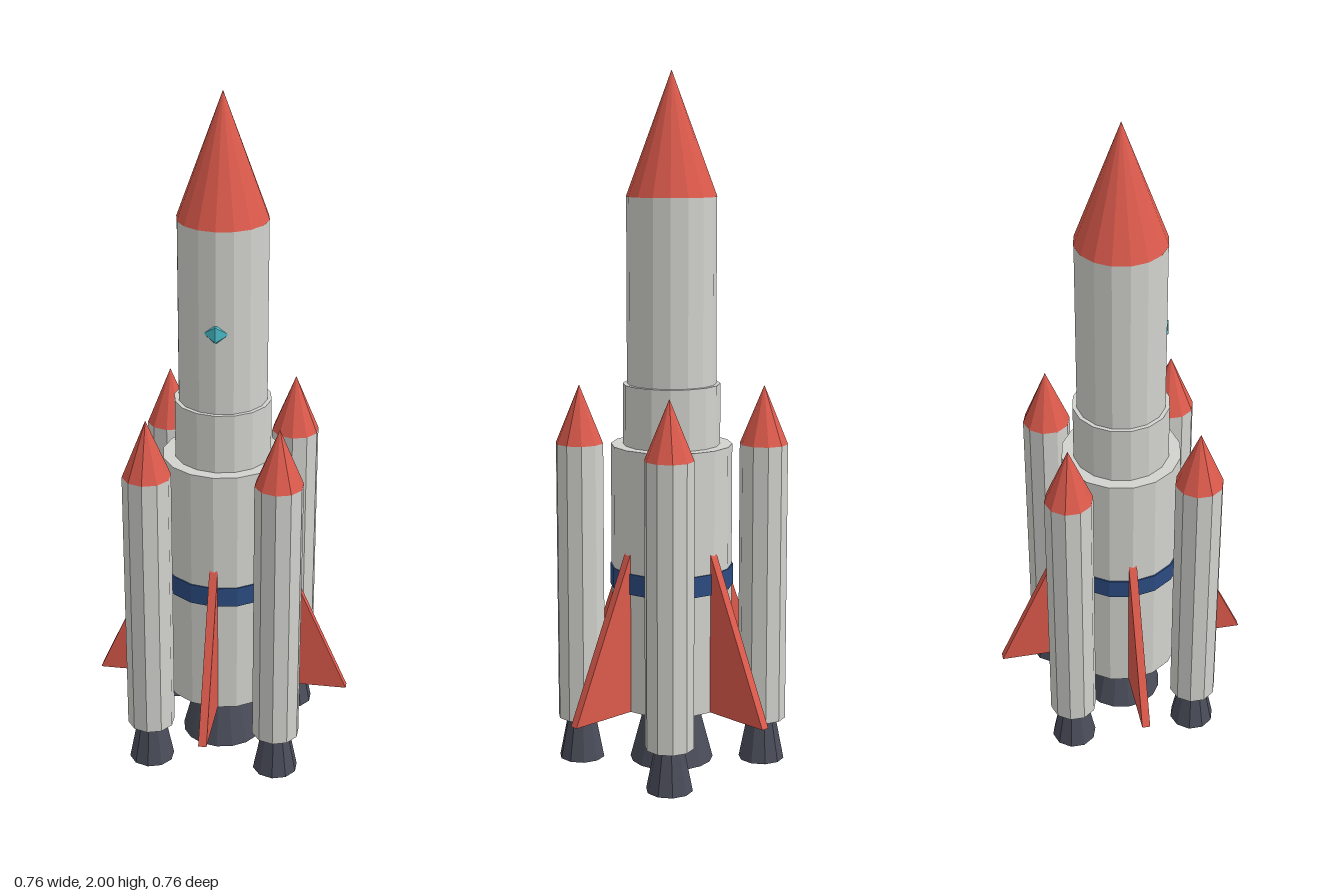
import * as THREE from 'three';

const paint = (name, color) => {
  const m = new THREE.MeshStandardMaterial({ color, flatShading: true });
  m.name = name;
  return m;
};

export function createModel() {
  const hull = paint('hullGrey', 0xd2d2ce);
  const red = paint('red', 0xdc5a4c);
  const navy = paint('navyBlue', 0x2c4c82);
  const dark = paint('engineDark', 0x4a4d5a);
  const teal = paint('windowTeal', 0x4cc4d0);

  const rocket = new THREE.Group();
  rocket.name = 'rocket';

  const add = (parent, name, geometry, material) => {
    const mesh = new THREE.Mesh(geometry, material);
    mesh.name = name;
    parent.add(mesh);
    return mesh;
  };

  // Upright round section between two heights
  const section = (parent, name, material, sides, y0, y1, r0, r1 = r0) => {
    const geometry = r1 === 0
      ? new THREE.ConeGeometry(r0, y1 - y0, sides)
      : new THREE.CylinderGeometry(r1, r0, y1 - y0, sides);
    add(parent, name, geometry, material).position.y = (y0 + y1) / 2;
  };

  // Central stack
  section(rocket, 'mainNozzle', dark, 16, 0, 0.18, 0.122, 0.074);
  section(rocket, 'lowerStage', hull, 16, 0.18, 0.945, 0.175);
  section(rocket, 'stripe', navy, 16, 0.53, 0.59, 0.179);
  section(rocket, 'middleStage', hull, 16, 0.945, 1.12, 0.14);
  section(rocket, 'upperStage', hull, 16, 1.12, 1.65, 0.128);
  section(rocket, 'noseCone', red, 16, 1.65, 2, 0.129, 0);

  // Faceted porthole, half sunk into the upper stage
  add(rocket, 'porthole', new THREE.IcosahedronGeometry(0.042, 0), teal)
    .position.set(0, 1.358, 0.098);

  // Four side boosters on the diagonals
  for (const x of [-0.188, 0.188]) {
    for (const z of [-0.188, 0.188]) {
      const booster = new THREE.Group();
      booster.name = 'booster';
      booster.position.set(x, 0, z);
      section(booster, 'boosterNozzle', dark, 10, 0, 0.125, 0.067, 0.042);
      section(booster, 'boosterBody', hull, 10, 0.125, 0.945, 0.07);
      section(booster, 'boosterNose', red, 10, 0.945, 1.115, 0.07, 0);
      rocket.add(booster);
    }
  }

  // Four swept fins on the axes
  const outline = new THREE.Shape([
    [0.15, 0.181], [0.38, 0.181], [0.172, 0.648], [0.15, 0.648],
  ].map(([x, y]) => new THREE.Vector2(x, y)));
  const finGeometry = new THREE.ExtrudeGeometry(outline, { depth: 0.024, bevelEnabled: false });
  finGeometry.translate(0, 0, -0.012);
  for (let i = 0; i < 4; i++) {
    add(rocket, 'fin', finGeometry, red).rotation.y = i * Math.PI / 2;
  }

  return rocket;
}
